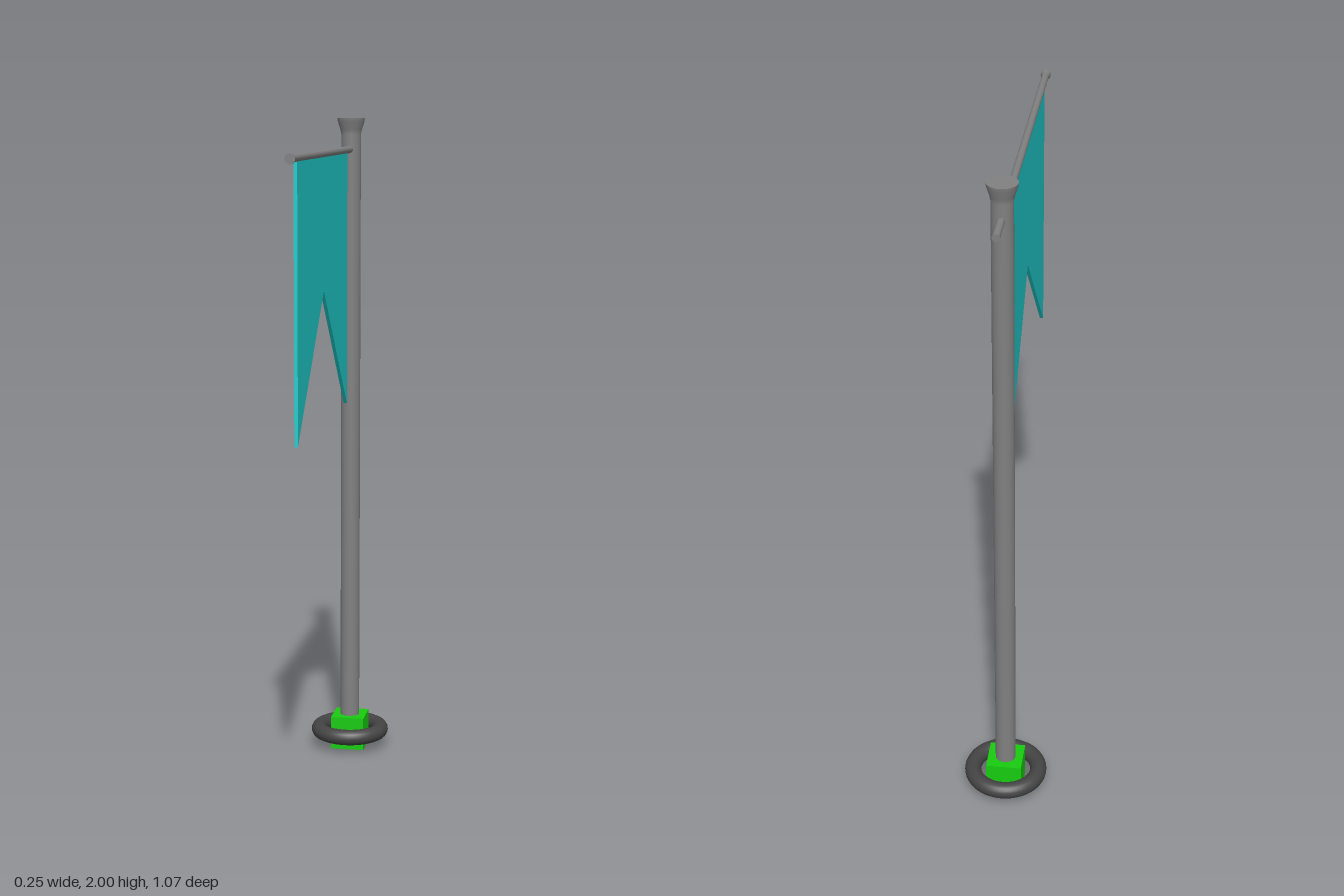
import * as THREE from 'three';

const POLE_Z = -0.412;

export function createModel() {
  const model = new THREE.Group();
  const steel = new THREE.MeshStandardMaterial({ color: 0x808080 });
  const rubber = new THREE.MeshStandardMaterial({ color: 0x444444 });
  const green = new THREE.MeshStandardMaterial({ color: 0x18cc10 });
  const cyan = new THREE.MeshStandardMaterial({ color: 0x20cccc });

  const add = (name, geometry, material, x = 0, y = 0, z = 0) => {
    const mesh = new THREE.Mesh(geometry, material);
    mesh.name = name;
    mesh.position.set(x, y, z);
    model.add(mesh);
    return mesh;
  };

  // Closed round bar; repeated points keep the cap rims sharp
  const bar = (points) => {
    const [first, last] = [points[0], points[points.length - 1]];
    const profile = [[0, first[1]], first, ...points, last, [0, last[1]]];
    return new THREE.LatheGeometry(profile.map(([r, y]) => new THREE.Vector2(r, y)), 32);
  };

  // Base block with a ring around it
  add('baseBlock', new THREE.BoxGeometry(0.105, 0.105, 0.105), green, 0, 0.0525, POLE_Z);
  const ring = add('baseRing', new THREE.TorusGeometry(0.0985, 0.0245, 20, 48), rubber, 0, 0.055, POLE_Z);
  ring.rotation.x = Math.PI / 2;

  // Upright pole with a flared top
  add('pole', bar([[0.03, 0.1], [0.03, 1.95], [0.033, 1.965], [0.041, 1.99], [0.042, 2]]), steel, 0, 0, POLE_Z);

  // Cross rod running forward, slightly flared at its front tip
  const rod = add('crossRod', bar([[0.0105, -0.535], [0.0105, 0.515], [0.0145, 0.528], [0.0145, 0.535]]), steel, 0, 1.905, 0);
  rod.rotation.x = Math.PI / 2;

  // Swallow-tailed banner hanging from the rod
  const outline = [[0.46, 1.9], [0.46, 1.13], [0.073, 1.517], [-0.315, 1.133], [-0.315, 1.9]];
  const shape = new THREE.Shape(outline.map(([z, y]) => new THREE.Vector2(-z, y)));
  const cloth = new THREE.ExtrudeGeometry(shape, { depth: 0.01, bevelEnabled: false });
  cloth.translate(0, 0, -0.005);
  cloth.rotateY(Math.PI / 2);
  add('banner', cloth, cyan);

  return model;
}
